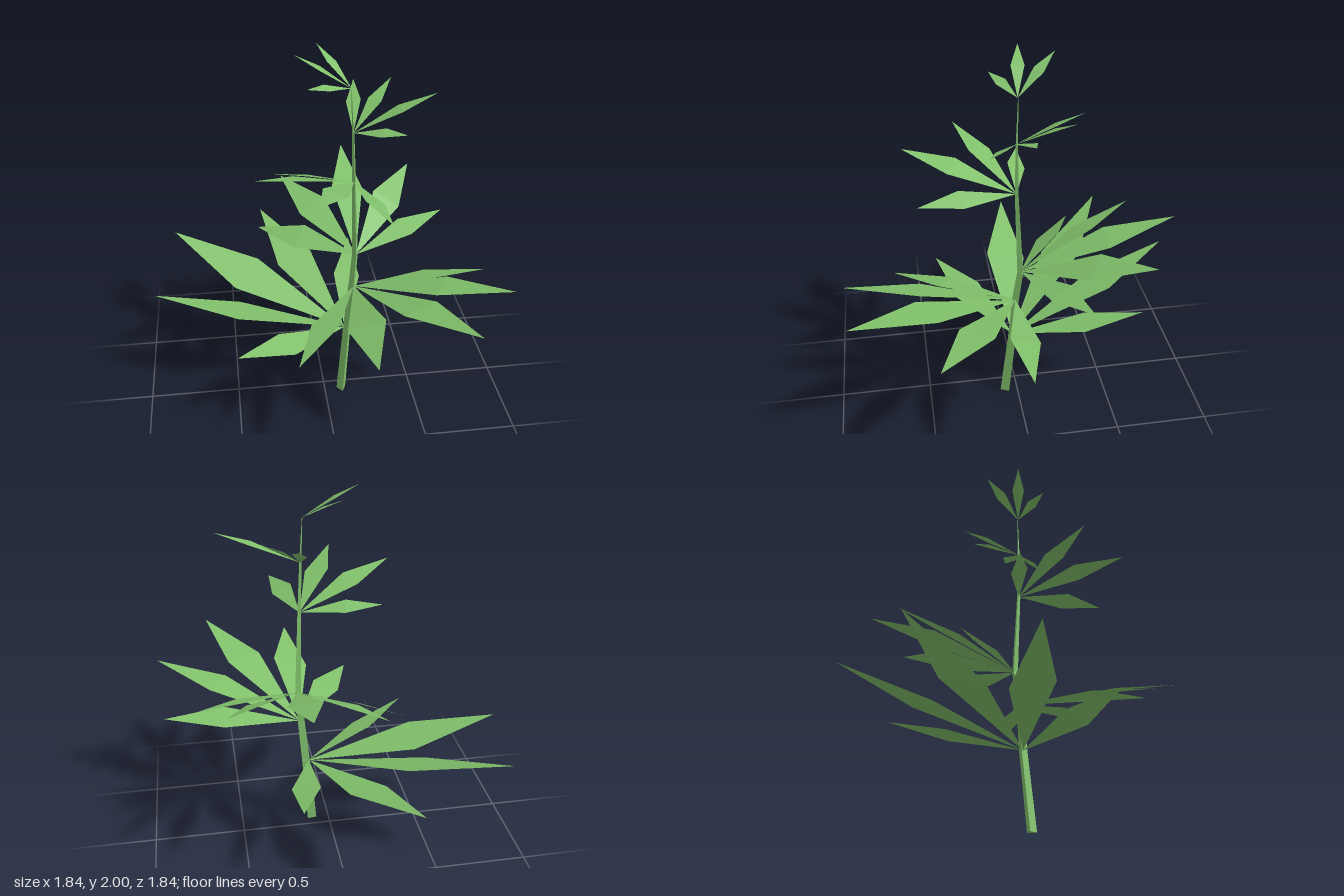
import * as THREE from 'three';

const leafGreen = new THREE.MeshStandardMaterial({ color: 0x80c06a, flatShading: true, side: THREE.DoubleSide });
leafGreen.name = 'leaf green';

// Stem rings: centre x, y, z and scale
const STEM = [
  [0.097, 0, 0.07, 1], [0.132, 0.42, 0.033, 0.86], [0.157, 0.69, 0.018, 0.74], [0.174, 0.88, -0.005, 0.62],
  [0.157, 1.335, 0.012, 0.38], [0.147, 1.605, 0.01, 0.22], [0.135, 1.838, 0.002, 0.05],
];
const STEM_SECTION = [[-0.027, -0.013], [0.003, 0.027], [0.025, -0.02]];

// Leaves: base, arch, and leaflets as tip x, y, z and sideways roll
const LEAVES = [
  { base: [0.115, 0.422, 0.03], arch: -0.005, tips: [
    [-0.82, 0.715, -0.642, -0.25], [-0.292, 0.678, -0.926, -0.15], [-0.922, 0.667, -0.06, 0.2],
    [-0.495, 0.56, 0.4, -0.3], [0.24, 0.58, -0.67, 0.1]] },
  { base: [0.165, 0.69, 0.02], arch: 0.025, tips: [
    [0.623, 0.955, 0.88, 0], [0.918, 0.9, 0.473, 0], [0.135, 0.852, 0.918, 0.3],
    [0.89, 0.757, 0.045, -0.28], [-0.203, 0.683, 0.655, 0.25]] },
  { base: [0.177, 0.88, -0.005], arch: 0.025, tips: [
    [0.207, 1.16, -0.8, 0.1], [0.58, 1.105, -0.608, 0.4], [-0.174, 1.048, -0.66, -0.4],
    [0.709, 0.968, -0.277, 0.3], [-0.332, 0.885, -0.356, -0.6]] },
  { base: [0.155, 1.335, 0.013], arch: 0.025, tips: [
    [-0.366, 1.508, 0.276, 0.2], [-0.09, 1.505, 0.56, -0.2], [-0.267, 1.375, -0.05, 0.4], [0.26, 1.36, 0.51, -0.4]] },
  { base: [0.147, 1.605, 0.01], arch: 0.025, tips: [
    [0.568, 1.788, -0.008, 0], [0.376, 1.795, -0.23, 0], [0.194, 1.765, -0.307, -0.2], [0.386, 1.653, 0.177, 0.4]] },
  { base: [0.135, 1.836, 0.005], arch: 0.025, tips: [
    [-0.012, 2, -0.197, 0.2], [-0.138, 2, -0.038, 0], [-0.095, 1.882, 0.113, -0.3]] },
];

function facetMesh(name, points) {
  const geometry = new THREE.BufferGeometry().setFromPoints(points);
  geometry.computeVertexNormals();
  const mesh = new THREE.Mesh(geometry, leafGreen);
  mesh.name = name;
  return mesh;
}

// Three-sided tapering stem
function makeStem() {
  const rings = STEM.map(([x, y, z, s]) =>
    STEM_SECTION.map(([dx, dz]) => new THREE.Vector3(x + dx * s, y, z + dz * s)));
  const points = [];
  for (let i = 0; i < rings.length - 1; i++) {
    for (let j = 0; j < 3; j++) {
      const k = (j + 1) % 3;
      const [a, b, c, d] = [rings[i][j], rings[i][k], rings[i + 1][k], rings[i + 1][j]];
      points.push(a, b, c, a, c, d);
    }
  }
  const [p, q, r] = rings[0];
  points.push(p, r, q);
  return facetMesh('stem', points);
}

// Kite-shaped leaflet creased across its widest point
function makeLeaflet(base, [x, y, z, roll], arch) {
  const tip = new THREE.Vector3(x, y, z);
  const along = tip.clone().sub(base);
  const length = along.length();
  const side = new THREE.Vector3(along.z, 0, -along.x).normalize();
  side.y = roll;
  side.multiplyScalar(length * 0.104);
  const middle = base.clone().addScaledVector(along, 0.56);
  middle.y += arch * length;
  const a = middle.clone().sub(side), b = middle.clone().add(side);
  return facetMesh('leaflet', [base, a, b, a, tip, b]);
}

export function createModel() {
  const plant = new THREE.Group();
  plant.name = 'plant';
  plant.add(makeStem());
  for (const { base, arch, tips } of LEAVES) {
    const leaf = new THREE.Group();
    leaf.name = 'leaf';
    const start = new THREE.Vector3(...base);
    for (const tip of tips) leaf.add(makeLeaflet(start, tip, arch));
    plant.add(leaf);
  }
  return plant;
}
